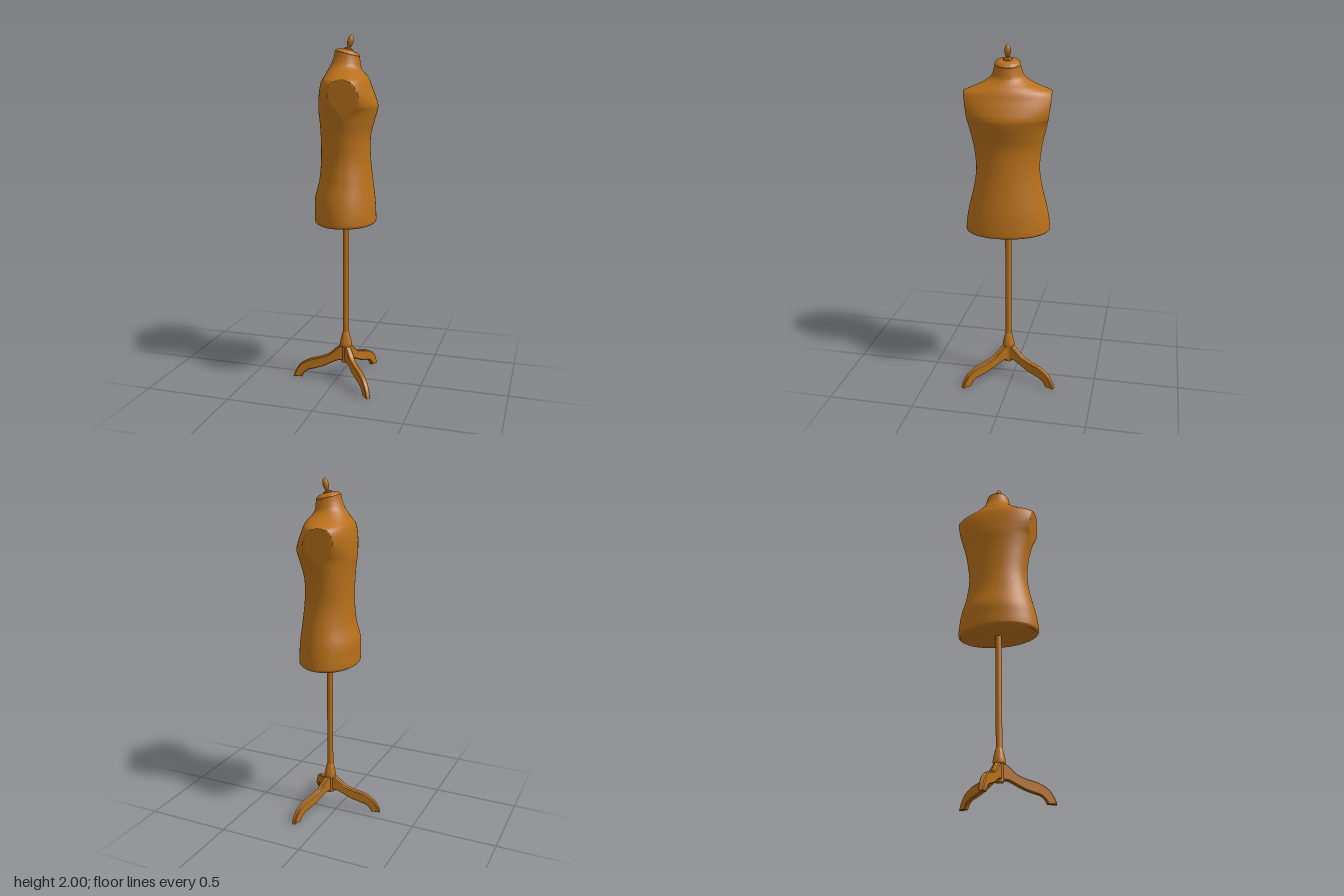
import * as THREE from 'three';
import { toCreasedNormals, mergeVertices } from 'three/addons/utils/BufferGeometryUtils.js';

const wood = new THREE.MeshStandardMaterial({ color: 0xb8701a });

function add(parent, name, geometry) {
  const mesh = new THREE.Mesh(geometry, wood);
  mesh.name = name;
  parent.add(mesh);
  return mesh;
}

function lathe(points, segments = 32) {
  return toCreasedNormals(
    new THREE.LatheGeometry(points.map(([r, y]) => new THREE.Vector2(r, y)), segments), 0.6);
}

// Cross-sections of the torso: height, back, chest, half width before the arm cut
const SECTIONS = [
  [0.955, -0.165, 0.160, 0.228],
  [0.962, -0.174, 0.170, 0.236],
  [0.975, -0.177, 0.173, 0.239],
  [1.03, -0.177, 0.171, 0.234],
  [1.10, -0.176, 0.166, 0.221],
  [1.20, -0.151, 0.153, 0.196],
  [1.32, -0.141, 0.140, 0.178],
  [1.44, -0.142, 0.138, 0.188],
  [1.52, -0.147, 0.155, 0.204],
  [1.58, -0.154, 0.172, 0.221],
  [1.62, -0.154, 0.178, 0.246],
  [1.67, -0.151, 0.163, 0.268],
  [1.72, -0.144, 0.143, 0.268],
  [1.752, -0.135, 0.132, 0.246],
  [1.775, -0.122, 0.120, 0.195],
  [1.80, -0.108, 0.100, 0.138],
  [1.83, -0.086, 0.084, 0.093],
  [1.865, -0.070, 0.078, 0.077],
  [1.895, -0.065, 0.075, 0.070],
];
const NECK = { x: 0.005, y: 1.895, tilt: 0.235 };

function torsoGeometry() {
  const around = 112, rows = 108;
  const curve = (col) => new THREE.CatmullRomCurve3(
    SECTIONS.map((s) => new THREE.Vector3(s[col], s[0], s[3])), false, 'catmullrom', 0.5);
  const back = curve(1), chest = curve(2);
  const pos = [], index = [];
  for (let i = 0; i <= rows; i++) {
    const b = back.getPoint(i / rows), c = chest.getPoint(i / rows);
    const mid = (b.x + c.x) / 2, depth = (c.x - b.x) / 2;
    // Flat armholes lean outwards towards the top; the neck rows tip forwards
    const cut = b.y > 1.5 ? 0.216 + (b.y - 1.585) * 0.14 : 1;
    const lean = THREE.MathUtils.smoothstep(b.y, 1.78, 1.88) * Math.tan(NECK.tilt);
    for (let j = 0; j < around; j++) {
      const a = (j / around) * Math.PI * 2;
      const x = mid + depth * Math.cos(a);
      const z = THREE.MathUtils.clamp(b.z * Math.sin(a), -cut, cut);
      pos.push(x, b.y - (x - mid) * lean, z);
    }
  }
  for (let i = 0; i < rows; i++) {
    for (let j = 0; j < around; j++) {
      const k = (j + 1) % around;
      const p = i * around + j, q = i * around + k;
      index.push(p, p + around, q, q, p + around, q + around);
    }
  }
  // Closed underside
  const centre = pos.length / 3;
  pos.push(0, SECTIONS[0][0], 0);
  for (let j = 0; j < around; j++) index.push(centre, j, (j + 1) % around);
  const g = new THREE.BufferGeometry();
  g.setAttribute('position', new THREE.Float32BufferAttribute(pos, 3));
  g.setIndex(index);
  return toCreasedNormals(mergeVertices(g), 0.6);
}

// Curved leg profile, distance from the pole against height
function legGeometry() {
  const v = (list) => list.map(([x, y]) => new THREE.Vector2(x, y));
  const s = new THREE.Shape();
  s.moveTo(0.01, 0.205);
  s.lineTo(0.035, 0.205);
  s.splineThru(v([[0.065, 0.18], [0.1, 0.15], [0.15, 0.13], [0.215, 0.112], [0.27, 0.08], [0.3, 0.04], [0.316, 0]]));
  s.lineTo(0.264, 0);
  s.splineThru(v([[0.25, 0.025], [0.225, 0.045], [0.18, 0.058], [0.13, 0.075], [0.08, 0.1], [0.045, 0.115], [0.01, 0.115]]));
  s.closePath();
  const w = 0.024, bevel = 0.005;
  const g = new THREE.ExtrudeGeometry(s, {
    depth: w, bevelThickness: bevel, bevelSize: bevel, bevelOffset: -bevel, bevelSegments: 1, curveSegments: 20,
  });
  g.translate(0, 0, -w / 2);
  // Narrower towards the foot
  const p = g.attributes.position;
  for (let i = 0; i < p.count; i++) p.setZ(i, p.getZ(i) * (1.08 - p.getX(i) * 0.8));
  return toCreasedNormals(g, 0.5);
}

export function createModel() {
  const model = new THREE.Group();
  model.name = 'dressForm';
  const form = new THREE.Group();
  form.name = 'form';
  form.position.set(0.05, 0, 0.025);
  form.rotation.y = THREE.MathUtils.degToRad(10);
  model.add(form);

  add(form, 'torso', torsoGeometry());

  // Tilted neck cap with its finial
  const top = new THREE.Group();
  top.name = 'neckTop';
  top.position.set(NECK.x, NECK.y, 0);
  top.rotation.z = -NECK.tilt;
  form.add(top);
  add(top, 'neckCap', lathe([
    [0, -0.005], [0.07, -0.005], [0.071, 0.004], [0.066, 0.013], [0.052, 0.021], [0.03, 0.026], [0, 0.027],
  ], 48));
  add(top, 'finial', lathe([
    [0, 0.024], [0.025, 0.024], [0.026, 0.029], [0.022, 0.034], [0.011, 0.037], [0.009, 0.042],
    [0.013, 0.05], [0.0165, 0.062], [0.0175, 0.074], [0.015, 0.088], [0.01, 0.1], [0.005, 0.106], [0, 0.108],
  ]));

  // Stand
  add(form, 'pole', new THREE.CylinderGeometry(0.018, 0.018, 0.72, 32).translate(0, 0.61, 0));
  add(form, 'collar', lathe([
    [0, 0.105], [0.026, 0.105], [0.026, 0.205], [0.034, 0.205], [0.036, 0.215], [0.033, 0.235],
    [0.026, 0.262], [0.022, 0.282], [0.018, 0.29],
  ]));
  const leg = legGeometry();
  for (let i = 0; i < 3; i++) {
    add(form, 'leg' + (i + 1), leg).rotation.y = Math.PI + (i * Math.PI * 2) / 3;
  }
  return model;
}
